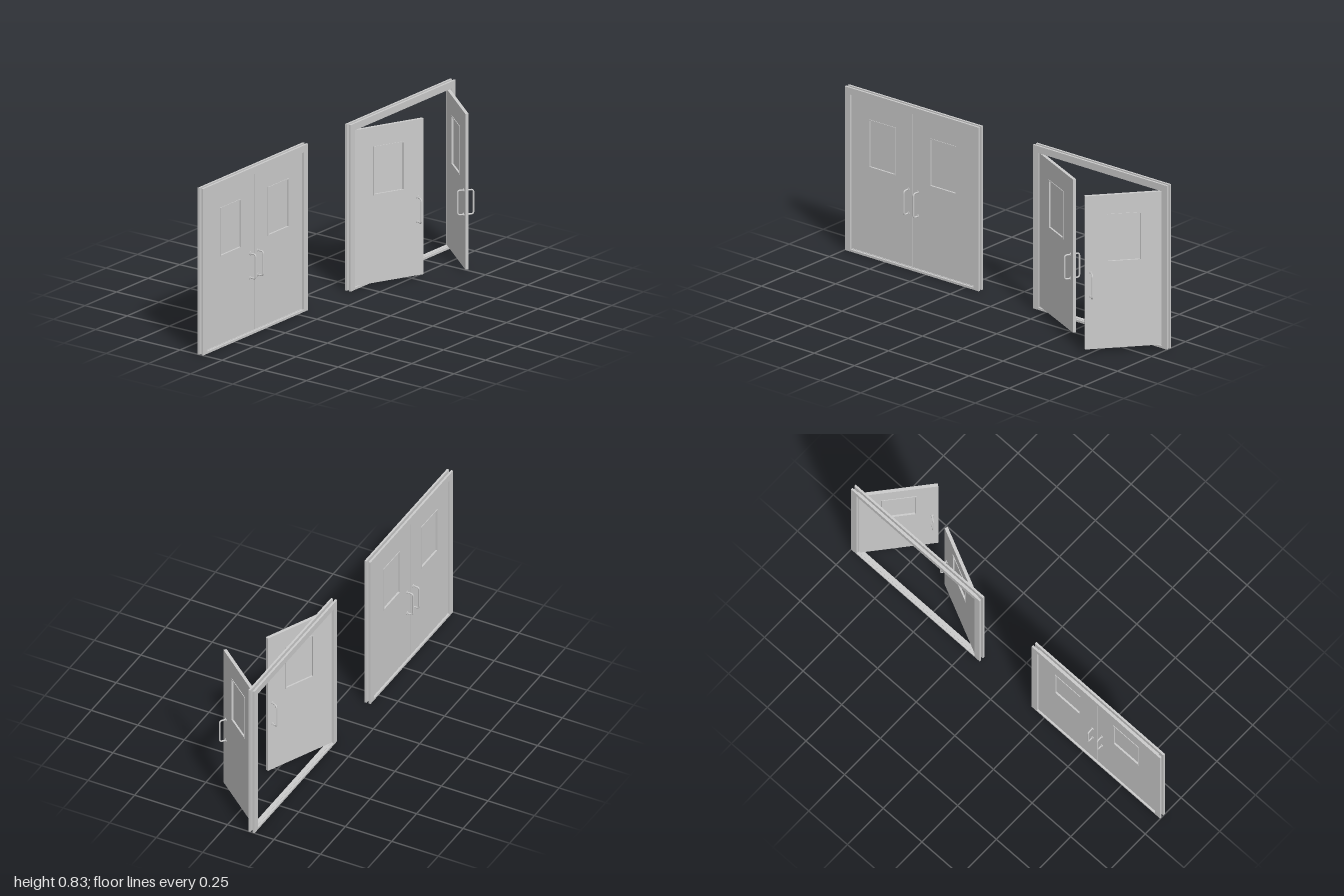
import * as THREE from 'three';

const grey = new THREE.MeshStandardMaterial({ color: 0xcccccc });
const DOOR_Z = -0.129;
const HINGE_X = 0.378; // hinge distance from the frame centre

function rect(Target, x0, y0, x1, y1) {
  const r = new Target();
  r.moveTo(x0, y0);
  r.lineTo(x1, y0);
  r.lineTo(x1, y1);
  r.lineTo(x0, y1);
  r.closePath();
  return r;
}

// Rectangular plate with a rectangular opening; bounds are [x0, y0, x1, y1]
function ring(name, outer, inner, depth, z) {
  const shape = rect(THREE.Shape, ...outer);
  shape.holes.push(rect(THREE.Path, ...inner));
  const geometry = new THREE.ExtrudeGeometry(shape, { depth, bevelEnabled: false });
  geometry.translate(0, 0, z - depth / 2);
  return mesh(name, geometry);
}

function mesh(name, geometry) {
  const m = new THREE.Mesh(geometry, grey);
  m.name = name;
  return m;
}

// D-shaped pull handle standing on the z = 0 plane
function createHandle() {
  const group = new THREE.Group();
  group.name = 'pullHandle';
  const half = 0.061, out = 0.031, r = 0.013;
  const v = (y, z) => new THREE.Vector3(0, y, z);
  const path = new THREE.CurvePath();
  path.add(new THREE.LineCurve3(v(half, 0), v(half, out - r)));
  path.add(new THREE.QuadraticBezierCurve3(v(half, out - r), v(half, out), v(half - r, out)));
  path.add(new THREE.LineCurve3(v(half - r, out), v(r - half, out)));
  path.add(new THREE.QuadraticBezierCurve3(v(r - half, out), v(-half, out), v(-half, out - r)));
  path.add(new THREE.LineCurve3(v(-half, out - r), v(-half, 0)));
  group.add(mesh('handleBar', new THREE.TubeGeometry(path, 64, 0.004, 12)));
  for (const y of [-half, half]) {
    const flange = mesh('handleFlange', new THREE.CylinderGeometry(0.009, 0.009, 0.003, 24));
    flange.rotation.x = Math.PI / 2;
    flange.position.set(0, y, 0.0015);
    group.add(flange);
  }
  return group;
}

// Door leaf running along +x from its hinge
function createLeaf(name) {
  const leaf = new THREE.Group();
  leaf.name = name;
  const thick = 0.016;
  leaf.add(ring('doorPanel', [0, 0.016, 0.377, 0.797], [0.109, 0.458, 0.269, 0.697], thick, 0));
  leaf.add(ring('windowTrim', [0.106, 0.455, 0.272, 0.7], [0.111, 0.46, 0.267, 0.695], 0.022, 0));

  const pane = mesh('windowPane', new THREE.BoxGeometry(0.16, 0.239, 0.004));
  pane.position.set(0.189, 0.5775, 0);
  leaf.add(pane);

  // One handle on each face
  for (const side of [1, -1]) {
    const handle = createHandle();
    handle.position.set(0.348, 0.344, side * thick / 2);
    if (side < 0) handle.rotation.y = Math.PI;
    leaf.add(handle);
  }
  return leaf;
}

// Frame with two leaves; opening angles in degrees, swinging to the front
function createDoorway(name, leftAngle, rightAngle) {
  const group = new THREE.Group();
  group.name = name;

  // Front and back casings around a narrower lining
  for (const [part, z] of [['frontCasing', -0.118], ['backCasing', -0.14]]) {
    group.add(ring(part, [-0.416, 0, 0.416, 0.835], [-0.382, 0.011, 0.382, 0.8], 0.0105, z));
  }
  group.add(ring('frameLining', [-0.387, 0.006, 0.387, 0.805], [-0.379, 0.013, 0.379, 0.798], 0.0125, DOOR_Z));

  const rad = THREE.MathUtils.degToRad;
  const rightLeaf = createLeaf('rightLeaf');
  rightLeaf.position.set(-HINGE_X, 0, DOOR_Z);
  rightLeaf.rotation.y = -rad(rightAngle);
  const leftLeaf = createLeaf('leftLeaf');
  leftLeaf.position.set(HINGE_X, 0, DOOR_Z);
  leftLeaf.rotation.y = Math.PI + rad(leftAngle);
  group.add(rightLeaf, leftLeaf);
  return group;
}

export function createModel() {
  const model = new THREE.Group();
  model.name = 'doubleDoors';
  const closed = createDoorway('closedDoorway', 0, 0);
  closed.position.x = -0.584;
  const open = createDoorway('openDoorway', 50.5, 25);
  open.position.x = 0.584;
  model.add(closed, open);
  return model;
}
